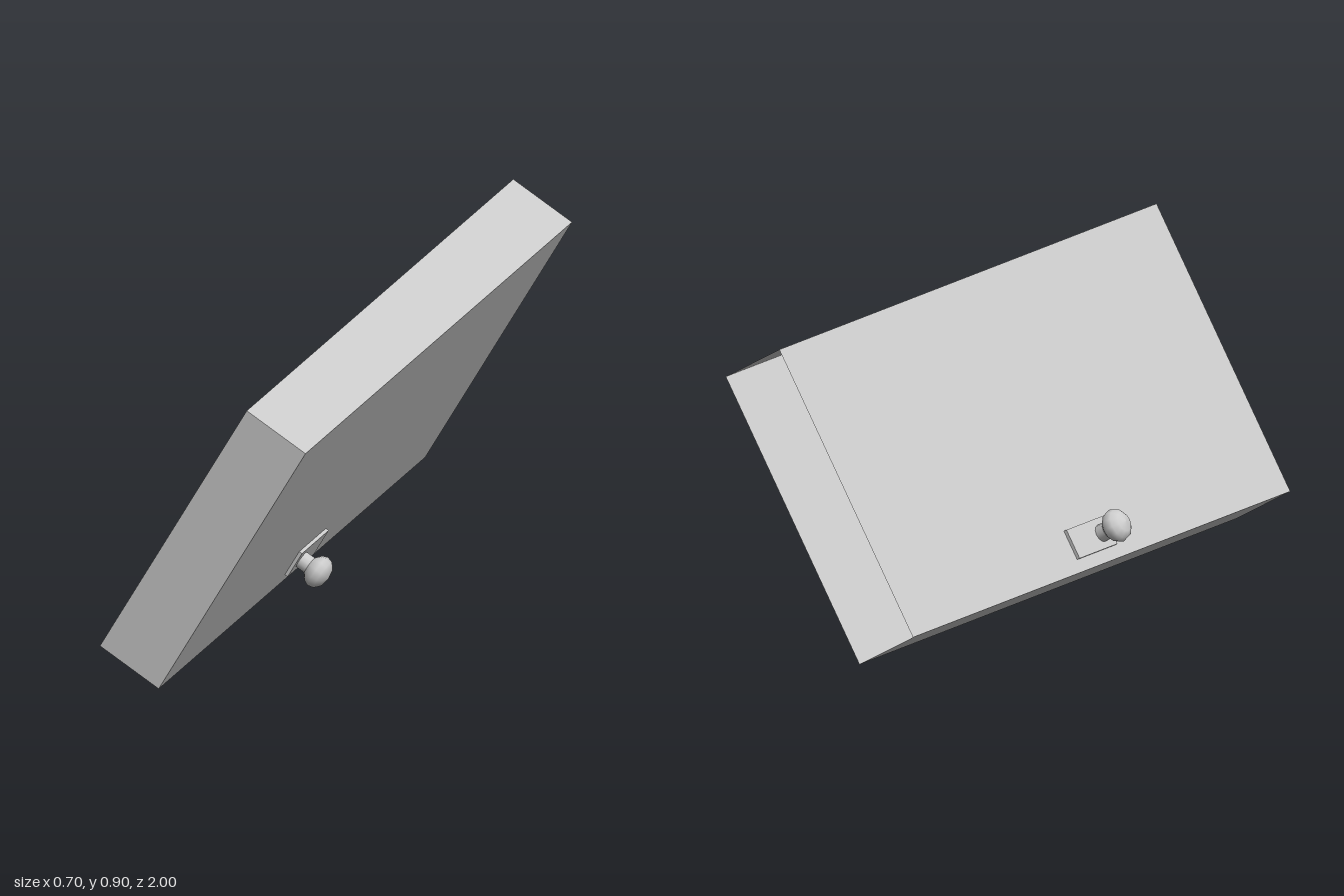
import * as THREE from 'three';

const WIDTH = 2, HEIGHT = 0.909, THICK = 0.21;
const HANDLE_Y = 0.083, KNOB_Z = 0.05;

export function createModel() {
  const model = new THREE.Group();
  model.name = 'tiltedDoor';
  const material = new THREE.MeshStandardMaterial({ color: 0xcccccc });
  const openMaterial = new THREE.MeshStandardMaterial({ color: 0xcccccc, side: THREE.DoubleSide });

  const add = (parent, name, geometry, mat = material) => {
    const mesh = new THREE.Mesh(geometry, mat);
    mesh.name = name;
    parent.add(mesh);
    return mesh;
  };

  // Everything is built upright, then leaned towards +x
  const door = new THREE.Group();
  door.name = 'door';
  door.position.set(-0.199, 0.0645, 0);
  door.rotation.z = -Math.PI / 6;
  model.add(door);

  // Hollow panel: a box without its -z end (the last six indices)
  const panel = new THREE.BoxGeometry(THICK, HEIGHT, WIDTH);
  panel.setIndex(Array.from(panel.index.array).slice(0, 30));
  panel.clearGroups();
  add(door, 'panel', panel, openMaterial).position.y = HEIGHT / 2;

  // Knob profile: radius, distance from the panel
  const knobProfile = [
    [0.029, 0.04], [0.043, 0.052], [0.05, 0.068], [0.045, 0.086], [0.029, 0.1], [0, 0.106],
  ].map(([r, d]) => new THREE.Vector2(r, d));

  // A plate, neck and knob on each face
  for (const side of [1, -1]) {
    const handle = new THREE.Group();
    handle.name = side > 0 ? 'leftHandle' : 'rightHandle';
    handle.position.set(side * THICK / 2, HANDLE_Y, 0);
    handle.rotation.z = -side * Math.PI / 2; // local y points out of the panel
    door.add(handle);

    add(handle, 'plate', new THREE.BoxGeometry(0.09, 0.01, 0.2)).position.y = 0.005;
    add(handle, 'neck', new THREE.CylinderGeometry(0.026, 0.026, 0.036, 12)).position.set(0, 0.026, KNOB_Z);
    add(handle, 'knob', new THREE.LatheGeometry(knobProfile, 12)).position.z = KNOB_Z;
  }
  return model;
}
